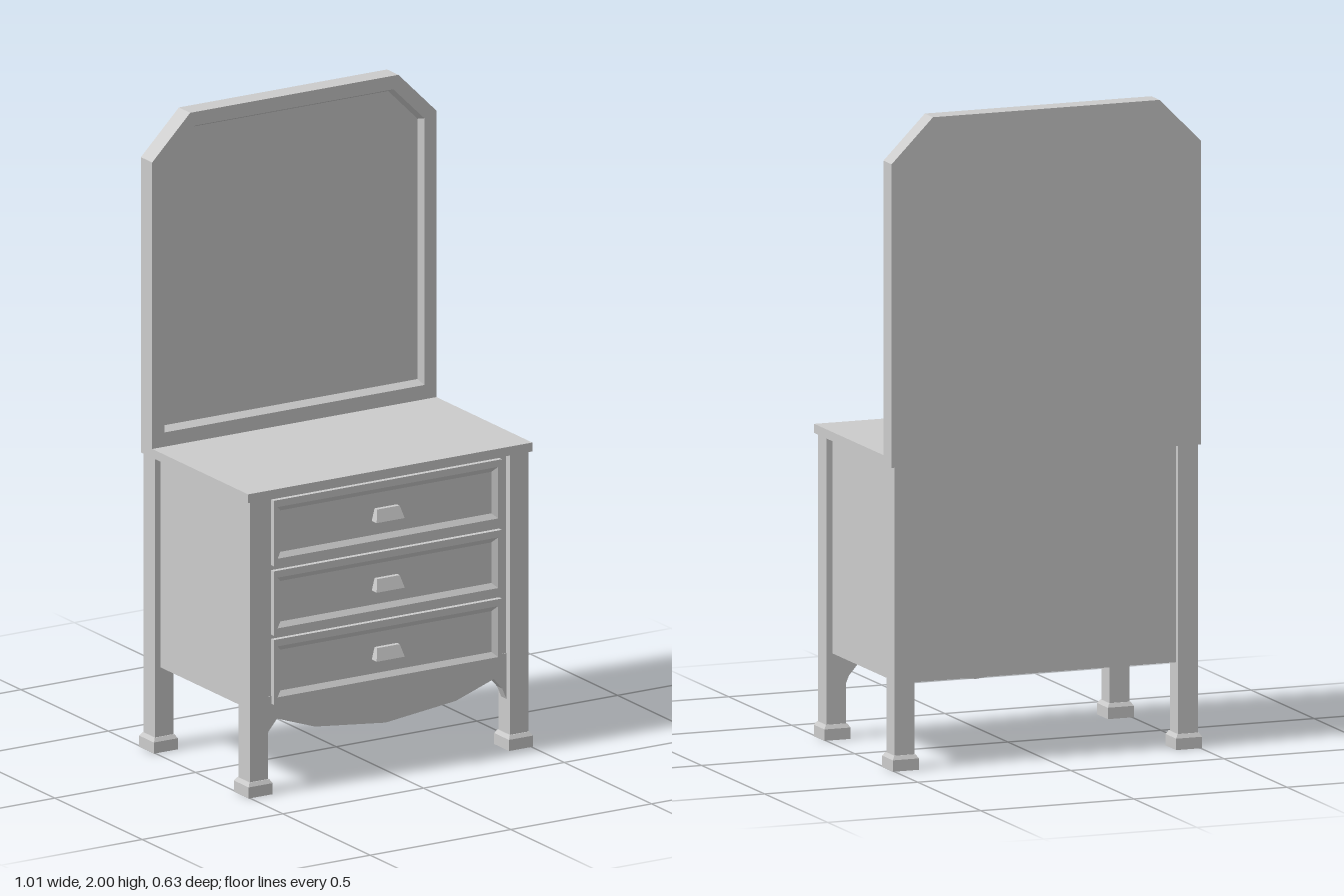
import * as THREE from 'three';

const material = new THREE.MeshStandardMaterial({ color: 0xcccccc, flatShading: true });

// Closed, flat-faced solid skinned through convex loops running back to front.
function loft(rings) {
  const pos = [];
  const tri = (a, b, c) => pos.push(...a, ...b, ...c);
  const n = rings[0].length;
  for (let i = 0; i < rings.length - 1; i++) {
    for (let j = 0; j < n; j++) {
      const k = (j + 1) % n, a = rings[i], b = rings[i + 1];
      tri(a[j], a[k], b[k]);
      tri(a[j], b[k], b[j]);
    }
  }
  const first = rings[0], last = rings[rings.length - 1];
  for (let j = 1; j < n - 1; j++) {
    tri(first[0], first[j + 1], first[j]);
    tri(last[0], last[j], last[j + 1]);
  }
  const geometry = new THREE.BufferGeometry();
  geometry.setAttribute('position', new THREE.Float32BufferAttribute(pos, 3));
  geometry.computeVertexNormals();
  return geometry;
}

// Rectangle loop, counter-clockwise seen from +z.
const rect = (w, y0, y1, z) => [[-w, y0, z], [w, y0, z], [w, y1, z], [-w, y1, z]];

// Rectangle loop with cut upper corners.
const arch = (w, y0, shoulder, wTop, y1, z) => [
  [-w, y0, z], [w, y0, z], [w, shoulder, z], [wTop, y1, z], [-wTop, y1, z], [-w, shoulder, z],
];

export function createModel() {
  const model = new THREE.Group();
  const add = (name, geometry, parent = model) => {
    const mesh = new THREE.Mesh(geometry, material);
    mesh.name = name;
    parent.add(mesh);
    return mesh;
  };
  const box = (name, x0, x1, y0, y1, z0, z1, parent) =>
    add(name, new THREE.BoxGeometry(x1 - x0, y1 - y0, z1 - z0), parent)
      .position.set((x0 + x1) / 2, (y0 + y1) / 2, (z0 + z1) / 2);

  // Cabinet and table top
  box('cabinetBody', -0.475, 0.475, 0.265, 0.932, -0.29, 0.28);
  box('tableTop', -0.505, 0.505, 0.932, 0.96, -0.305, 0.309);

  // Mirror with cut corners and a bevelled recess
  add('mirror', loft([
    arch(0.505, 0.96, 1.865, 0.37, 2, -0.305),
    arch(0.505, 0.96, 1.865, 0.37, 2, -0.24),
    arch(0.462, 1.005, 1.848, 0.352, 1.957, -0.24),
    arch(0.452, 1.02, 1.842, 0.347, 1.947, -0.262),
  ]));

  // Four legs, each on a foot with a chamfered top
  for (const x of [-0.4625, 0.4625]) {
    for (const z of [-0.2725, 0.27]) {
      const leg = new THREE.Group();
      leg.name = (z > 0 ? 'front' : 'back') + (x > 0 ? 'Left' : 'Right') + 'Leg';
      box('legPost', -0.0325, 0.0325, 0.04, 0.932, -0.0325, 0.0325, leg);
      add('foot', loft([
        rect(0.0425, -0.0425, 0.0425, 0),
        rect(0.0425, -0.0425, 0.0425, 0.035),
        rect(0.035, -0.035, 0.035, 0.047),
      ]).rotateX(-Math.PI / 2), leg);
      leg.position.set(x, 0, z);
      model.add(leg);
    }
  }

  // Three drawers with recessed panels and wedge handles
  for (const [y0, y1] of [[0.275, 0.48], [0.493, 0.697], [0.713, 0.92]]) {
    const drawer = new THREE.Group();
    drawer.name = 'drawer';
    add('drawerFront', loft([
      rect(0.405, y0, y1, 0.27),
      rect(0.405, y0, y1, 0.296),
      rect(0.392, y0 + 0.022, y1 - 0.022, 0.296),
      rect(0.375, y0 + 0.038, y1 - 0.038, 0.284),
    ]), drawer);
    const h0 = y0 + 0.083, h1 = h0 + 0.038;
    add('handle', loft([
      [[-0.05, h0, 0.28], [0.05, h0, 0.28], [0.04, h1, 0.28], [-0.04, h1, 0.28]],
      [[-0.05, h0, 0.312], [0.05, h0, 0.312], [0.04, h1, 0.299], [-0.04, h1, 0.299]],
    ]), drawer);
    model.add(drawer);
  }

  // Scalloped apron between the front legs
  const apron = new THREE.Shape([
    [-0.44, 0.3], [-0.44, 0.145], [-0.43, 0.155], [-0.415, 0.19], [-0.385, 0.225],
    [-0.25, 0.178], [0, 0.15], [0.25, 0.178],
    [0.385, 0.225], [0.415, 0.19], [0.43, 0.155], [0.44, 0.145], [0.44, 0.3],
  ].map(([x, y]) => new THREE.Vector2(x, y)));
  add('apron', new THREE.ExtrudeGeometry(apron, { depth: 0.03, bevelEnabled: false }).translate(0, 0, 0.252));

  return model;
}
